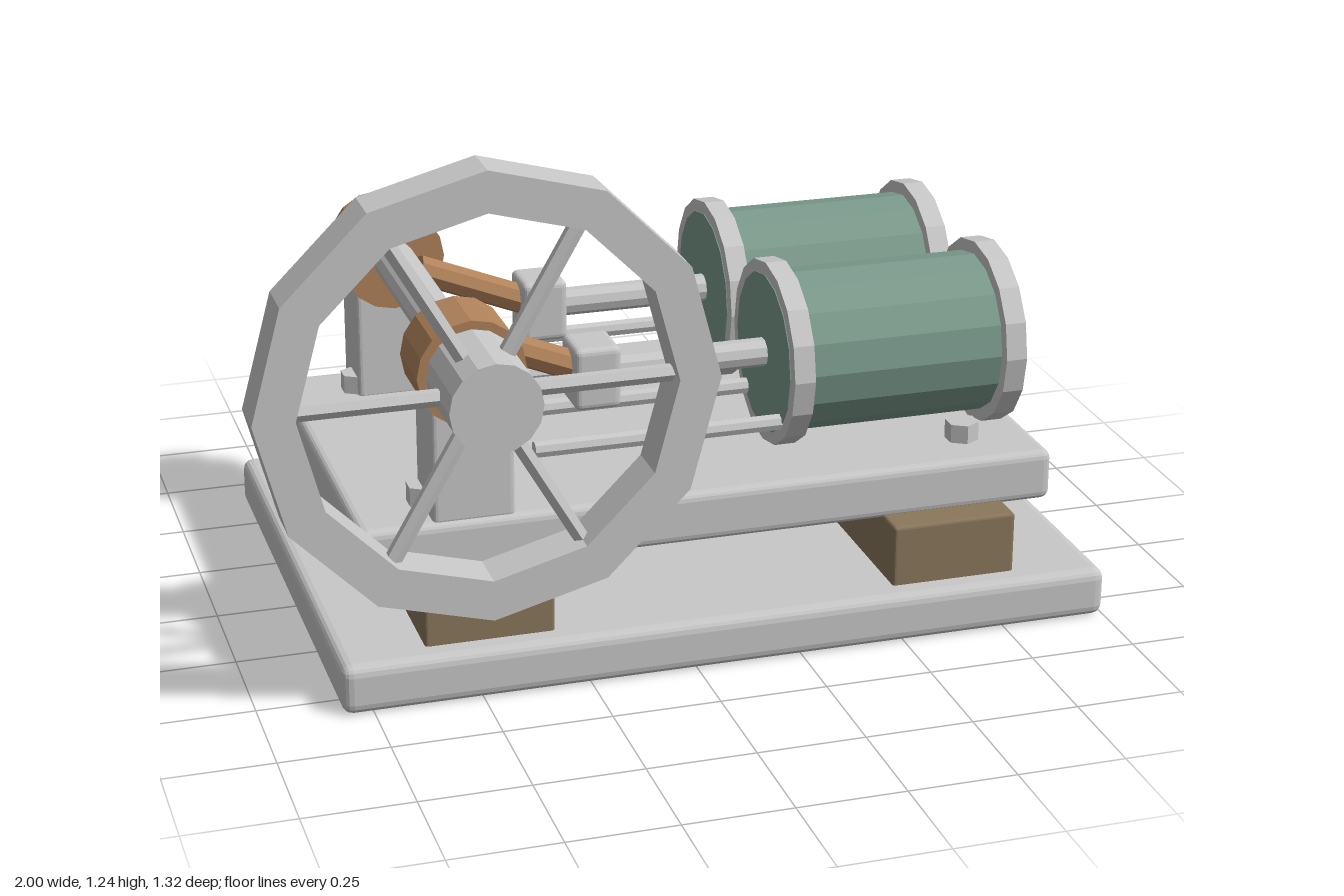
import * as THREE from 'three';
import { RoundedBoxGeometry } from 'three/addons/geometries/RoundedBoxGeometry.js';

function material(name, color, flatShading = true) {
  const m = new THREE.MeshStandardMaterial({ color, flatShading });
  m.name = name;
  return m;
}

export function createModel() {
  const model = new THREE.Group();
  model.name = 'twinCylinderEngine';
  const steel = material('steel', 0xc8c8c8);
  const green = material('greenPaint', 0x7a9a8c);
  const brass = material('brass', 0xb0825a);
  const wood = material('wood', 0x8a775c);

  function add(name, geometry, mat, parent = model) {
    const mesh = new THREE.Mesh(geometry, mat);
    mesh.name = name;
    parent.add(mesh);
    return mesh;
  }

  // Rounded block given by its extents on each axis
  function block(name, [x0, x1], [y0, y1], [z0, z1], radius, mat) {
    const g = new RoundedBoxGeometry(x1 - x0, y1 - y0, z1 - z0, 2, radius);
    g.translate((x0 + x1) / 2, (y0 + y1) / 2, (z0 + z1) / 2);
    return add(name, g, mat);
  }

  // Round bar running from point a to point b
  function bar(name, a, b, radius, sides, mat, parent = model) {
    const from = new THREE.Vector3(...a);
    const to = new THREE.Vector3(...b);
    const mesh = add(name, new THREE.CylinderGeometry(radius, radius, from.distanceTo(to), sides), mat, parent);
    mesh.position.copy(from).lerp(to, 0.5);
    mesh.quaternion.setFromUnitVectors(new THREE.Vector3(0, 1, 0), to.sub(from).normalize());
    return mesh;
  }

  // Base plate, timber sleepers and bed
  block('basePlate', [-0.82, 1.0], [0, 0.117], [-0.655, 0.59], 0.025, steel);
  block('rearSleeper', [-0.62, -0.32], [0.11, 0.263], [-0.605, 0.53], 0.008, wood);
  block('frontSleeper', [0.49, 0.79], [0.11, 0.263], [-0.605, 0.53], 0.008, wood);
  block('bed', [-0.745, 0.91], [0.253, 0.375], [-0.525, 0.455], 0.02, steel);

  // Bed bolts
  for (const x of [-0.57, 0.735]) {
    for (const z of [-0.395, 0.32]) bar('bolt', [x, 0.37, z], [x, 0.42, z], 0.04, 6, steel);
  }

  // Crankshaft in two pedestal bearings
  const cx = -0.48, cy = 0.72;
  for (const z of [-0.425, 0.36]) {
    block('pedestal', [cx - 0.095, cx + 0.095], [0.365, 0.65], [z - 0.081, z + 0.081], 0.012, steel);
    bar('bearing', [cx, cy, z - 0.082], [cx, cy, z + 0.082], 0.125, 16, brass);
  }
  bar('crankshaft', [cx, cy, -0.565], [cx, cy, 0.5], 0.05, 12, steel);

  // Flywheel: faceted rim, hub and six spokes
  const flywheel = new THREE.Group();
  flywheel.name = 'flywheel';
  flywheel.position.set(cx, cy, 0.555);
  model.add(flywheel);
  const ring = (r) => Array.from({ length: 12 }, (_, i) =>
    new THREE.Vector2(r * Math.cos(i * Math.PI / 6), r * Math.sin(i * Math.PI / 6)));
  const rim = new THREE.Shape(ring(0.52));
  rim.holes.push(new THREE.Path(ring(0.425).reverse()));
  const rimGeometry = new THREE.ExtrudeGeometry(rim, { depth: 0.11, bevelEnabled: false });
  rimGeometry.translate(0, 0, -0.055);
  add('rim', rimGeometry, steel, flywheel);
  bar('hub', [0, 0, -0.115], [0, 0, 0.105], 0.105, 16, steel, flywheel);
  for (let i = 0; i < 6; i++) {
    const c = Math.cos(i * Math.PI / 3), s = Math.sin(i * Math.PI / 3);
    bar('spoke', [0.08 * c, 0.08 * s, 0], [0.44 * c, 0.44 * s, 0], 0.02, 6, steel, flywheel);
  }

  // Two identical cylinders with their running gear
  for (const z of [-0.26, 0.2]) {
    const y = 0.6;
    // The barrel stands just proud of the flanges, so its painted ends show
    bar('barrel', [0.278, y, z], [0.852, y, z], 0.19, 16, green);
    bar('innerFlange', [0.28, y, z], [0.33, y, z], 0.22, 16, steel);
    bar('outerFlange', [0.8, y, z], [0.85, y, z], 0.22, 16, steel);
    bar('pistonRod', [-0.12, y, z], [0.3, y, z], 0.034, 10, steel);
    block('crosshead', [-0.195, -0.085], [0.525, 0.675], [z - 0.063, z + 0.063], 0.015, steel);
    bar('connectingRod', [-0.44, cy, z], [-0.14, y, z], 0.036, 8, brass);
    for (const side of [-1, 1]) {
      bar('guideRod', [-0.31, 0.47, z + side * 0.12], [0.3, 0.47, z + side * 0.12], 0.02, 8, steel);
    }
  }

  return model;
}
